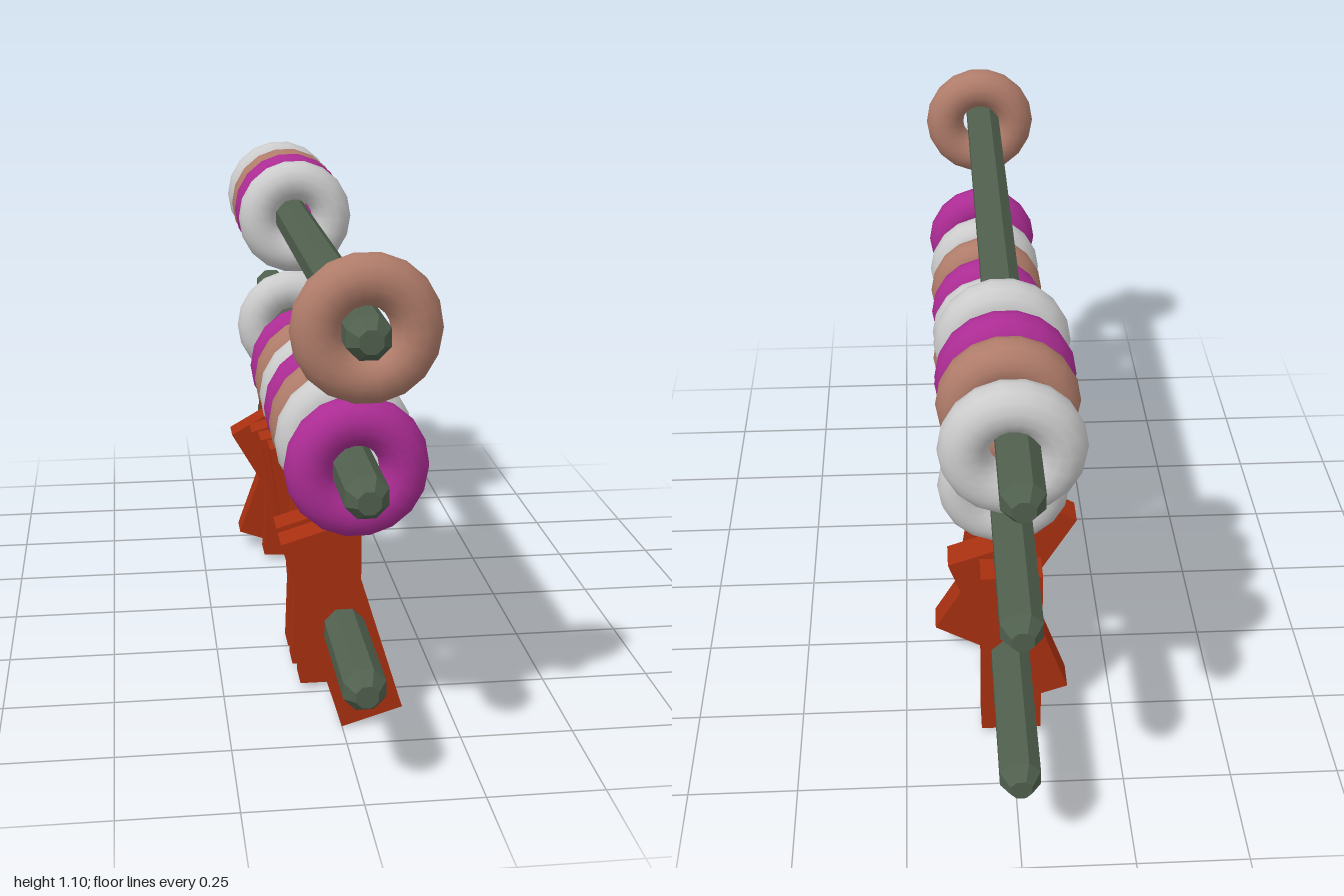
import * as THREE from 'three';

export function createModel() {
  const root = new THREE.Group();
  const mat = (color, flatShading = false) => new THREE.MeshStandardMaterial({ color, flatShading });
  const grey = mat(0xcccccc), brown = mat(0xb07c6a), purple = mat(0xac2c94);
  const rodMat = mat(0x50604e, true), slatMat = mat(0xa83010, true);

  const add = (parent, name, geometry, material, x, y, z) => {
    const mesh = new THREE.Mesh(geometry, material);
    mesh.name = name;
    mesh.position.set(x, y, z);
    parent.add(mesh);
    return mesh;
  };

  // Eight-sided rod with chamfered ends, lying along z
  const rodGeo = new THREE.LatheGeometry(
    [[0, -1], [0.025, -1], [0.047, -0.965], [0.047, 0.965], [0.025, 1], [0, 1]]
      .map(([r, y]) => new THREE.Vector2(r, y)), 8);
  rodGeo.rotateY(Math.PI / 8).rotateX(Math.PI / 2);
  const ringGeo = new THREE.TorusGeometry(0.098, 0.052, 14, 18);
  const slatGeo = new THREE.BoxGeometry(0.14, 0.455, 0.073);

  // Rods carrying sliding rings: [z, material]
  const ringRows = [
    { name: 'upper', y: 0.96, rings: [[0.88, brown], [-0.37, grey], [-0.51, purple], [-0.615, brown], [-0.78, grey]] },
    { name: 'middle', y: 0.645, rings: [[0.77, purple], [0.58, grey], [0.455, brown], [0.335, purple],
      [0.225, grey], [0.095, brown], [-0.03, purple], [-0.46, grey]] },
  ];
  for (const { name, y, rings } of ringRows) {
    const row = new THREE.Group();
    row.name = name + 'Row';
    add(row, name + 'Rod', rodGeo, rodMat, 0.003, y, 0);
    rings.forEach(([z, m], i) => add(row, `${name}Ring${i + 1}`, ringGeo, m, 0.012, y - 0.003, z));
    root.add(row);
  }

  // Lower rod with evenly spaced slats, each swung by its own angle in degrees
  const lower = new THREE.Group();
  lower.name = 'lowerRow';
  add(lower, 'lowerRod', rodGeo, rodMat, 0.003, 0.239, 0);
  [17, 17, 0, -2, -2, 4, 8, 12, 16, 30, -3, -19.5, 0].forEach((deg, i) => {
    const slat = add(lower, `slat${i + 1}`, slatGeo, slatMat, 0, 0.239, 0.635 - i * 0.0983);
    slat.rotation.z = THREE.MathUtils.degToRad(deg);
  });
  root.add(lower);
  return root;
}
